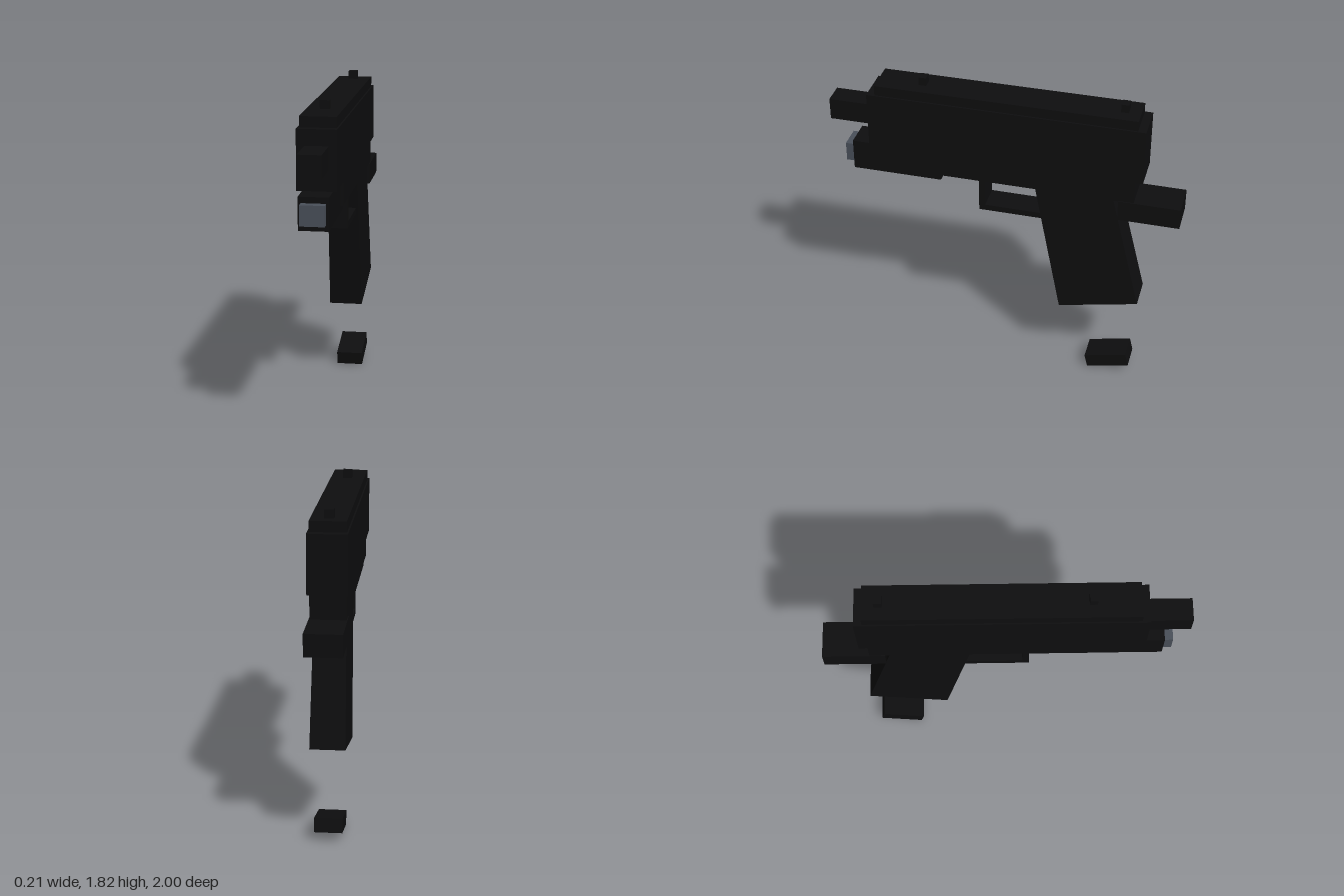
import * as THREE from 'three';

export function createModel() {
  const model = new THREE.Group();
  const black = new THREE.MeshStandardMaterial({ color: 0x0e0e0f });
  black.name = 'matte black';
  const grey = new THREE.MeshStandardMaterial({ color: 0x4a505a });
  grey.name = 'lens grey';

  // Box given by half width in x and its y and z ranges
  function block(name, halfX, y0, y1, z0, z1, material = black) {
    const mesh = new THREE.Mesh(new THREE.BoxGeometry(halfX * 2, y1 - y0, z1 - z0), material);
    mesh.position.set(0, (y0 + y1) / 2, (z0 + z1) / 2);
    mesh.name = name;
    model.add(mesh);
    return mesh;
  }

  // Upper body
  block('slide', 0.107, 1.393, 1.717, -0.785, 0.765);
  block('topRib', 0.098, 1.70, 1.775, -0.74, 0.72);
  block('frame', 0.097, 1.25, 1.40, -0.74, 0.465);
  block('barrel', 0.063, 1.505, 1.63, 0.7, 1.0);
  block('tail', 0.102, 1.13, 1.253, -1.0, -0.655);

  // Sights
  block('frontSight', 0.026, 1.77, 1.822, 0.445, 0.487);
  block('rearSight', 0.026, 1.77, 1.822, -0.674, -0.632);

  // Light under the barrel
  block('lightBody', 0.081, 1.208, 1.387, 0.36, 0.872);
  block('lightLens', 0.066, 1.243, 1.354, 0.86, 0.921, grey);

  // Trigger guard
  block('guardPost', 0.075, 1.042, 1.26, 0.105, 0.14);
  block('guardBar', 0.075, 1.042, 1.077, -0.26, 0.14);

  // Slanted grip, slightly wider at its foot
  const gripGeometry = new THREE.BoxGeometry(2, 2, 2);
  const p = gripGeometry.attributes.position;
  for (let i = 0; i < p.count; i++) {
    const top = p.getY(i) > 0;
    const front = p.getZ(i) > 0;
    const [y, z] = top
      ? (front ? [1.28, -0.179] : [1.28, -0.618])
      : (front ? [0.452, -0.34] : [0.553, -0.796]);
    p.setXYZ(i, Math.sign(p.getX(i)) * (top ? 0.087 : 0.096), y, z);
  }
  const grip = new THREE.Mesh(gripGeometry.toNonIndexed(), black);
  grip.geometry.computeVertexNormals();
  grip.name = 'grip';
  model.add(grip);

  // Detached magazine base below the grip
  const magazine = block('magazineBase', 0.077, 0.031, 0.111, -0.758, -0.507);
  magazine.rotation.x = 0.23;

  return model;
}
